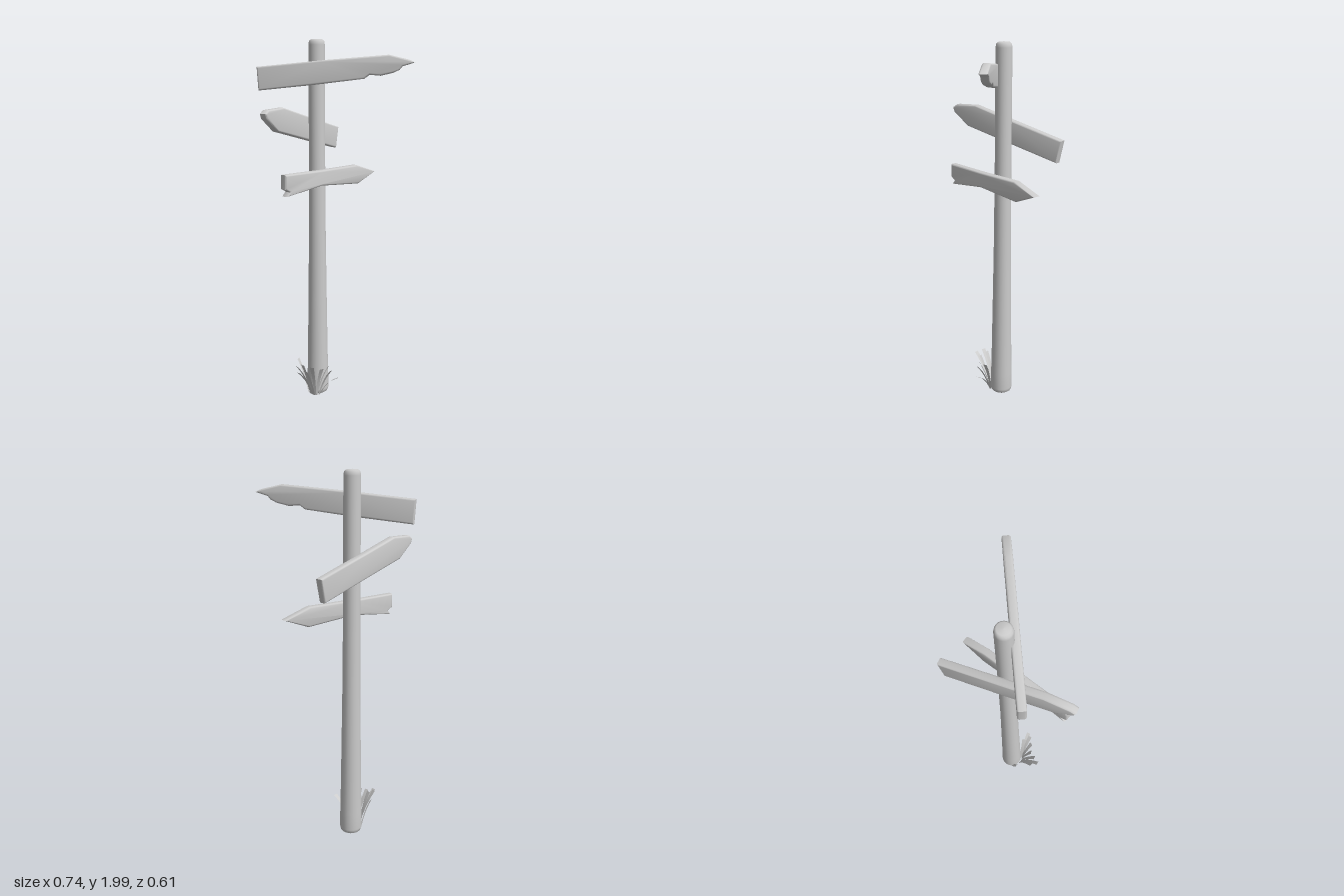
import * as THREE from 'three';
import { toCreasedNormals } from 'three/addons/utils/BufferGeometryUtils.js';

const material = new THREE.MeshStandardMaterial({ color: 0xcccccc });
const thinMaterial = new THREE.MeshStandardMaterial({ color: 0xcccccc, side: THREE.DoubleSide });

// Plank: outline in the facing plane, extruded with softened edges, turned about the post
function sign(name, outline, { scale = 1, turn = 0, z = 0 }) {
  const shape = new THREE.Shape(outline.map(([x, y]) => new THREE.Vector2(x * scale / Math.cos(turn), y)));
  const bevel = 0.009, thickness = 0.042;
  const geo = new THREE.ExtrudeGeometry(shape, {
    depth: thickness - 2 * bevel, bevelEnabled: true, bevelSize: bevel,
    bevelThickness: bevel, bevelOffset: -bevel, bevelSegments: 3,
  });
  geo.translate(0, 0, bevel - thickness / 2);
  const mesh = new THREE.Mesh(toCreasedNormals(geo, 0.7), material);
  mesh.name = name;
  mesh.rotation.y = turn;
  mesh.position.z = z;
  return mesh;
}

// Grass blade: curved strip that leans from its root to its tip
function blade(root, tip, width) {
  const a = new THREE.Vector3(...root), b = new THREE.Vector3(...tip);
  const mid = a.clone().lerp(b, 0.4);
  mid.y += 0.045;
  const curve = new THREE.QuadraticBezierCurve3(a, mid, b);
  const side = new THREE.Vector3(b.z - a.z, 0, a.x - b.x).normalize();
  const segments = 4;
  const geo = new THREE.PlaneGeometry(1, 1, 1, segments);
  const pos = geo.attributes.position;
  for (let i = 0; i < pos.count; i++) {
    const t = pos.getY(i) + 0.5;
    const w = width * (0.5 + 0.5 * t) * pos.getX(i);
    const p = curve.getPoint(t).addScaledVector(side, w);
    pos.setXYZ(i, p.x, p.y, p.z);
  }
  geo.computeVertexNormals();
  return new THREE.Mesh(geo, thinMaterial);
}

export function createModel() {
  const model = new THREE.Group();

  // Tapered post with rounded top and foot
  const profile = [
    [0, 0.015], [0.045, 0.016], [0.056, 0.024], [0.062, 0.045], [0.06, 0.14], [0.057, 0.28],
    [0.052, 0.6], [0.047, 0.95], [0.044, 1.4], [0.043, 1.97], [0.04, 1.988], [0.031, 1.997], [0, 2],
  ].map(([r, y]) => new THREE.Vector2(r, y));
  const post = new THREE.Mesh(new THREE.LatheGeometry(profile, 20), material);
  post.name = 'post';
  post.position.set(0.016, 0, -0.112);
  model.add(post);

  // Top sign, pointing diagonally forward, with a chipped tip
  model.add(sign('topSign', [
    [-0.235, 1.74], [-0.02, 1.77], [0.16, 1.8], [0.18, 1.82], [0.22, 1.815], [0.267, 1.83],
    [0.29, 1.845], [0.3, 1.862], [0.347, 1.882], [0.325, 1.895], [0.25, 1.92], [0.008, 1.893], [-0.24, 1.86],
  ], { scale: 0.955, turn: -0.81, z: -0.061 }));

  // Middle sign behind the post, pointing to the model's right
  model.add(sign('middleSign', [
    [-0.373, 1.638], [-0.363, 1.612], [-0.273, 1.543], [-0.02, 1.48], [0.283, 1.405],
    [0.308, 1.522], [-0.02, 1.607], [-0.22, 1.66], [-0.347, 1.655],
  ], { scale: 0.99, turn: 0.246, z: -0.183 }));

  // Lower sign in front of the post, with a split back end
  model.add(sign('lowerSign', [
    [-0.3, 1.263], [-0.272, 1.247], [-0.292, 1.225], [-0.045, 1.252], [0.23, 1.23],
    [0.368, 1.284], [0.22, 1.334], [-0.045, 1.333], [-0.3, 1.337],
  ], { z: -0.025 }));

  // Tuft of grass fanning out beside the foot of the post
  const grass = new THREE.Group();
  grass.name = 'grass';
  const blades = [
    [[-0.02, 0.02, -0.06], [0.008, 0.155, 0.06]],
    [[-0.025, 0.02, -0.06], [-0.022, 0.2, 0.036]],
    [[-0.035, 0.015, -0.07], [-0.06, 0.21, 0]],
    [[-0.03, 0.02, -0.07], [-0.005, 0.205, -0.005]],
    [[-0.04, 0.015, -0.075], [-0.095, 0.215, -0.045]],
    [[-0.045, 0.015, -0.08], [-0.132, 0.2, -0.058]],
    [[-0.045, 0.015, -0.09], [-0.17, 0.2, -0.075]],
    [[-0.045, 0.015, -0.1], [-0.145, 0.215, -0.11]],
    [[-0.045, 0.015, -0.11], [-0.11, 0.215, -0.105]],
    [[-0.04, 0.015, -0.13], [-0.065, 0.215, -0.19]],
  ];
  blades.forEach(([root, tip], i) => {
    const mesh = blade(root, tip, 0.024);
    mesh.name = `grassBlade${i + 1}`;
    grass.add(mesh);
  });
  model.add(grass);

  return model;
}
